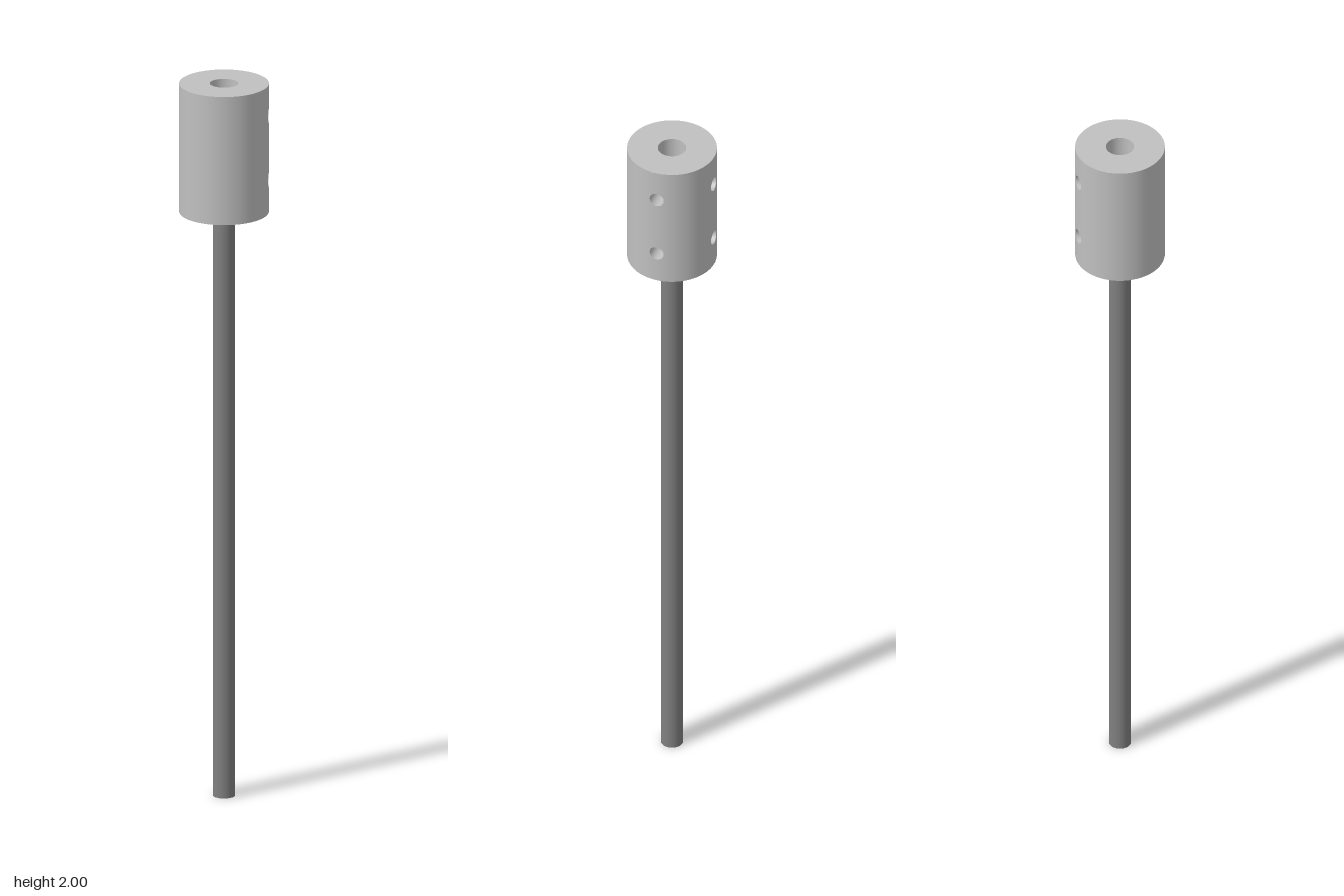
import * as THREE from 'three';

const R = 0.12, BORE = 0.038, SHAFT = 0.03, HOLE = 0.02;
const BOTTOM = 1.64, MID = 1.82, TOP = 2;
const HALF = (TOP - MID) / 2;
const ANGLES = [THREE.MathUtils.degToRad(40), THREE.MathUtils.degToRad(-50)];

// Surface from a rule: fn(u, v) gives a position and a normal; faces are wound to match the normal.
function surface(nu, nv, fn) {
  const pos = [], nor = [], idx = [];
  for (let j = 0; j <= nv; j++) {
    for (let i = 0; i <= nu; i++) {
      const [p, n] = fn(i / nu, j / nv);
      pos.push(p.x, p.y, p.z);
      nor.push(n.x, n.y, n.z);
    }
  }
  const at = (arr, k) => new THREE.Vector3().fromArray(arr, k * 3);
  const tri = (a, b, c) => {
    const face = at(pos, b).sub(at(pos, a)).cross(at(pos, c).sub(at(pos, a)));
    const n = at(nor, a).add(at(nor, b)).add(at(nor, c));
    if (face.dot(n) >= 0) idx.push(a, b, c);
    else idx.push(a, c, b);
  };
  for (let j = 0; j < nv; j++) {
    for (let i = 0; i < nu; i++) {
      const a = j * (nu + 1) + i, b = a + nu + 1;
      tri(a, a + 1, b + 1);
      tri(a, b + 1, b);
    }
  }
  const g = new THREE.BufferGeometry();
  g.setAttribute('position', new THREE.Float32BufferAttribute(pos, 3));
  g.setAttribute('normal', new THREE.Float32BufferAttribute(nor, 3));
  g.setIndex(idx);
  return g;
}

// Point on an upright cylinder wall, with its normal facing out (1) or in (-1)
const onWall = (r, a, y, side) => [
  new THREE.Vector3(r * Math.cos(a), y, r * Math.sin(a)),
  new THREE.Vector3(side * Math.cos(a), 0, side * Math.sin(a)),
];

// Plain stretch of wall between two angles
const wallArc = (r, from, to, y0, y1, side) =>
  surface(Math.ceil((to - from) * 14), 1, (u, v) =>
    onWall(r, from + (to - from) * u, y0 + (y1 - y0) * v, side));

// Patch of wall with a round hole in the middle
const holedPatch = (r, angle, y, halfAngle, side) =>
  surface(48, 6, (u, v) => {
    const t = u * Math.PI * 2, c = Math.cos(t), s = Math.sin(t);
    const k = Math.max(Math.abs(c), Math.abs(s));
    const a = THREE.MathUtils.lerp(Math.asin(HOLE * c / r), halfAngle * c / k, v);
    const dy = THREE.MathUtils.lerp(HOLE * s, HALF * s / k, v);
    return onWall(r, angle + a, y + dy, side);
  });

// Inside of a screw hole, running from the outer wall to an inner radius
const holeTube = (inner, angle, y) =>
  surface(48, 1, (u, v) => {
    const t = u * Math.PI * 2, s = HOLE * Math.cos(t);
    const r = v ? inner : R;
    const out = Math.sqrt(r * r - s * s);
    const ca = Math.cos(angle), sa = Math.sin(angle), c = Math.cos(t);
    return [
      new THREE.Vector3(out * ca - s * sa, y + HOLE * Math.sin(t), out * sa + s * ca),
      new THREE.Vector3(c * sa, -Math.sin(t), -c * ca),
    ];
  });

export function createModel() {
  const model = new THREE.Group();
  const collarMat = new THREE.MeshStandardMaterial({ color: 0xc0c0c0 });
  collarMat.name = 'light grey metal';
  const shaftMat = new THREE.MeshStandardMaterial({ color: 0x808080 });
  shaftMat.name = 'dark grey metal';

  // Shaft, seated halfway into the collar
  const shaft = new THREE.Mesh(new THREE.CylinderGeometry(SHAFT, SHAFT, MID, 64), shaftMat);
  shaft.name = 'shaft';
  shaft.position.y = MID / 2;
  model.add(shaft);

  const collar = new THREE.Group();
  collar.name = 'collar';
  model.add(collar);
  const add = (name, geometry) => {
    const mesh = new THREE.Mesh(geometry, collarMat);
    mesh.name = name;
    collar.add(mesh);
  };

  // Outer wall between the two columns of screw holes
  const w = 0.3, [a0, a1] = ANGLES;
  add('outerWallShort', wallArc(R, a1 + w, a0 - w, BOTTOM, TOP, 1));
  add('outerWallLong', wallArc(R, a0 + w, a1 - w + Math.PI * 2, BOTTOM, TOP, 1));

  // Screw holes: two columns a quarter turn apart, two rows
  for (const angle of ANGLES) {
    for (const [y, inner] of [[BOTTOM + HALF, SHAFT], [MID + HALF, BORE]]) {
      add('outerWallAroundHole', holedPatch(R, angle, y, w, 1));
      add('screwHole', holeTube(inner, angle, y));
    }
    add('boreWallAroundHole', holedPatch(BORE, angle, MID + HALF, Math.PI / 4, -1));
  }

  // Rest of the bore wall
  const q = Math.PI / 4;
  add('boreWall', wallArc(BORE, a0 + q, a1 - q + Math.PI * 2, MID, TOP, -1));

  // Flat rings: top face, step inside the bore, underside
  const ring = (name, inner, outer, y, up) => {
    const g = new THREE.RingGeometry(inner, outer, 96);
    g.rotateX(up ? -Math.PI / 2 : Math.PI / 2).translate(0, y, 0);
    add(name, g);
  };
  ring('topFace', BORE, R, TOP, true);
  ring('boreStep', SHAFT, BORE, MID, true);
  ring('underside', SHAFT, R, BOTTOM, false);

  return model;
}
